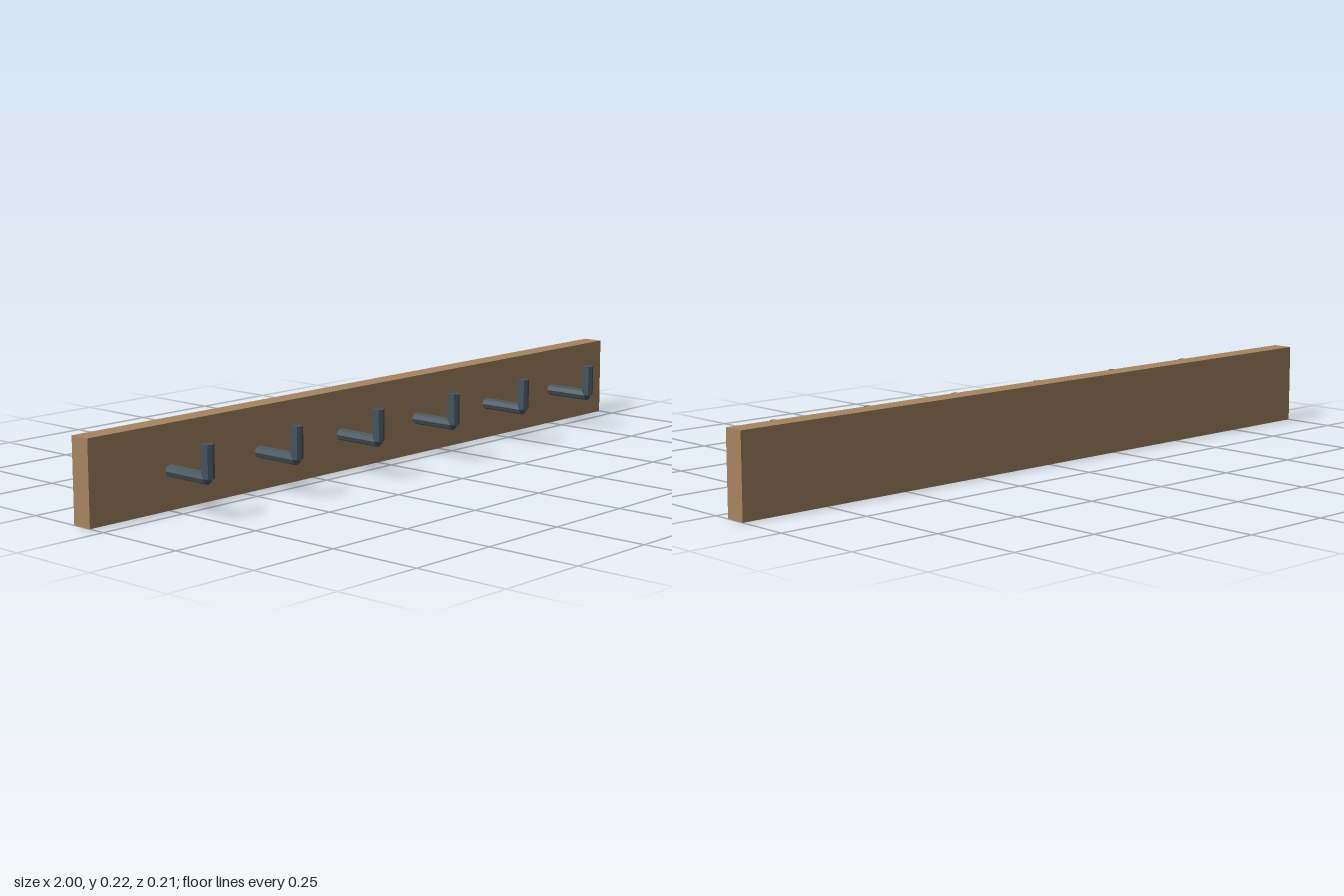
import * as THREE from 'three';

export function createModel() {
  const model = new THREE.Group();
  const wood = new THREE.MeshStandardMaterial({ color: 0xa68560 });
  const metal = new THREE.MeshStandardMaterial({ color: 0x46555f, flatShading: true });

  // Long wall board
  const board = new THREE.Mesh(new THREE.BoxGeometry(2, 0.217, 0.057), wood);
  board.name = 'board';
  board.position.set(0, 0.1085, -0.0765);
  model.add(board);

  // L-shaped hooks: a horizontal arm and an upright tip
  const radius = 0.016, axisY = 0.101, tipZ = 0.091;
  const armGeometry = new THREE.CylinderGeometry(radius, radius, 0.134, 8).rotateX(Math.PI / 2);
  const tipGeometry = new THREE.CylinderGeometry(radius, radius, 0.084, 8);
  for (let i = 0; i < 6; i++) {
    const hook = new THREE.Group();
    hook.name = 'hook' + (i + 1);
    hook.position.x = -0.75 + i * 0.3;

    const arm = new THREE.Mesh(armGeometry, metal);
    arm.name = 'hookArm';
    arm.position.set(0, axisY, tipZ - 0.067);

    const tip = new THREE.Mesh(tipGeometry, metal);
    tip.name = 'hookTip';
    tip.position.set(0, axisY + 0.042, tipZ);

    hook.add(arm, tip);
    model.add(hook);
  }
  return model;
}
